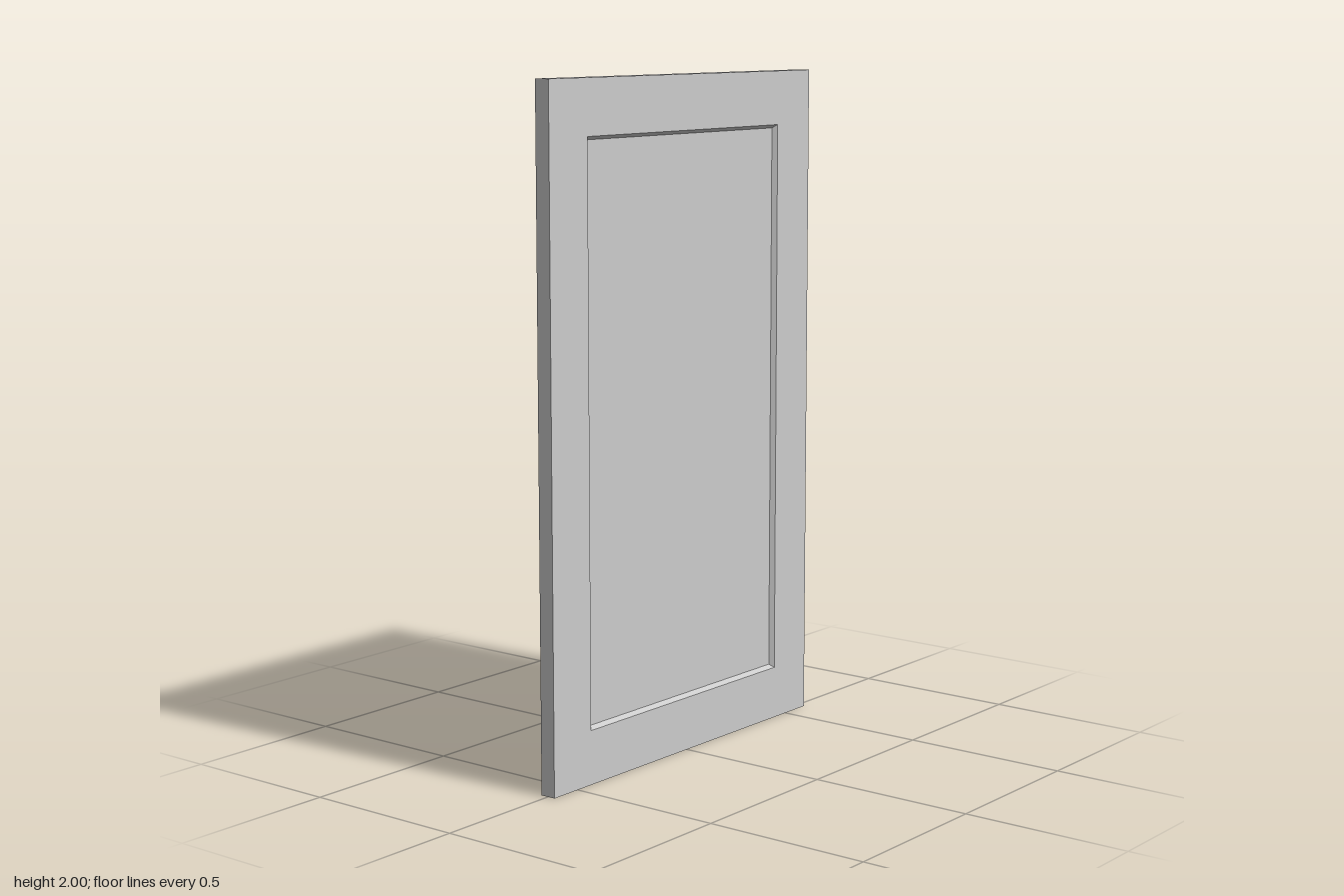
import * as THREE from 'three';

const W = 1.2, H = 2, T = 0.048; // overall door size
const RAIL = 0.16;               // width of the flat frame
const BEVEL = 0.01;              // width of the sloped inner edge
const RECESS = 0.014;            // depth of the centre panel

// Four corners, anticlockwise from the front, of a rectangle inset from the outline
function ring(inset, z) {
  const x = W / 2 - inset, y = H / 2 - inset;
  return [[-x, -y, z], [x, -y, z], [x, y, z], [-x, y, z]];
}

// Joins successive rectangular rings with flat quads
function loft(rings) {
  const positions = [];
  for (let r = 0; r < rings.length - 1; r++) {
    for (let i = 0; i < 4; i++) {
      const j = (i + 1) % 4;
      const a = rings[r][i], b = rings[r][j], c = rings[r + 1][j], d = rings[r + 1][i];
      positions.push(...a, ...b, ...c, ...a, ...c, ...d);
    }
  }
  const geometry = new THREE.BufferGeometry();
  geometry.setAttribute('position', new THREE.Float32BufferAttribute(positions, 3));
  geometry.computeVertexNormals();
  return geometry;
}

export function createModel() {
  const material = new THREE.MeshStandardMaterial({ color: 0xcccccc, flatShading: true });
  const group = new THREE.Group();
  group.name = 'cabinetDoor';

  const add = (name, geometry, z = 0) => {
    const mesh = new THREE.Mesh(geometry, material);
    mesh.name = name;
    mesh.position.set(0, H / 2, z);
    group.add(mesh);
    return mesh;
  };

  // Frame: outer edges, flat front border, then the bevel down to the panel
  add('frame', loft([
    ring(0, -T / 2),
    ring(0, T / 2),
    ring(RAIL, T / 2),
    ring(RAIL + BEVEL, T / 2 - RECESS),
  ]));

  // Recessed centre panel
  const inset = 2 * (RAIL + BEVEL);
  add('centrePanel', new THREE.PlaneGeometry(W - inset, H - inset), T / 2 - RECESS);

  // Plain back
  add('back', new THREE.PlaneGeometry(W, H), -T / 2).rotation.y = Math.PI;

  return group;
}
